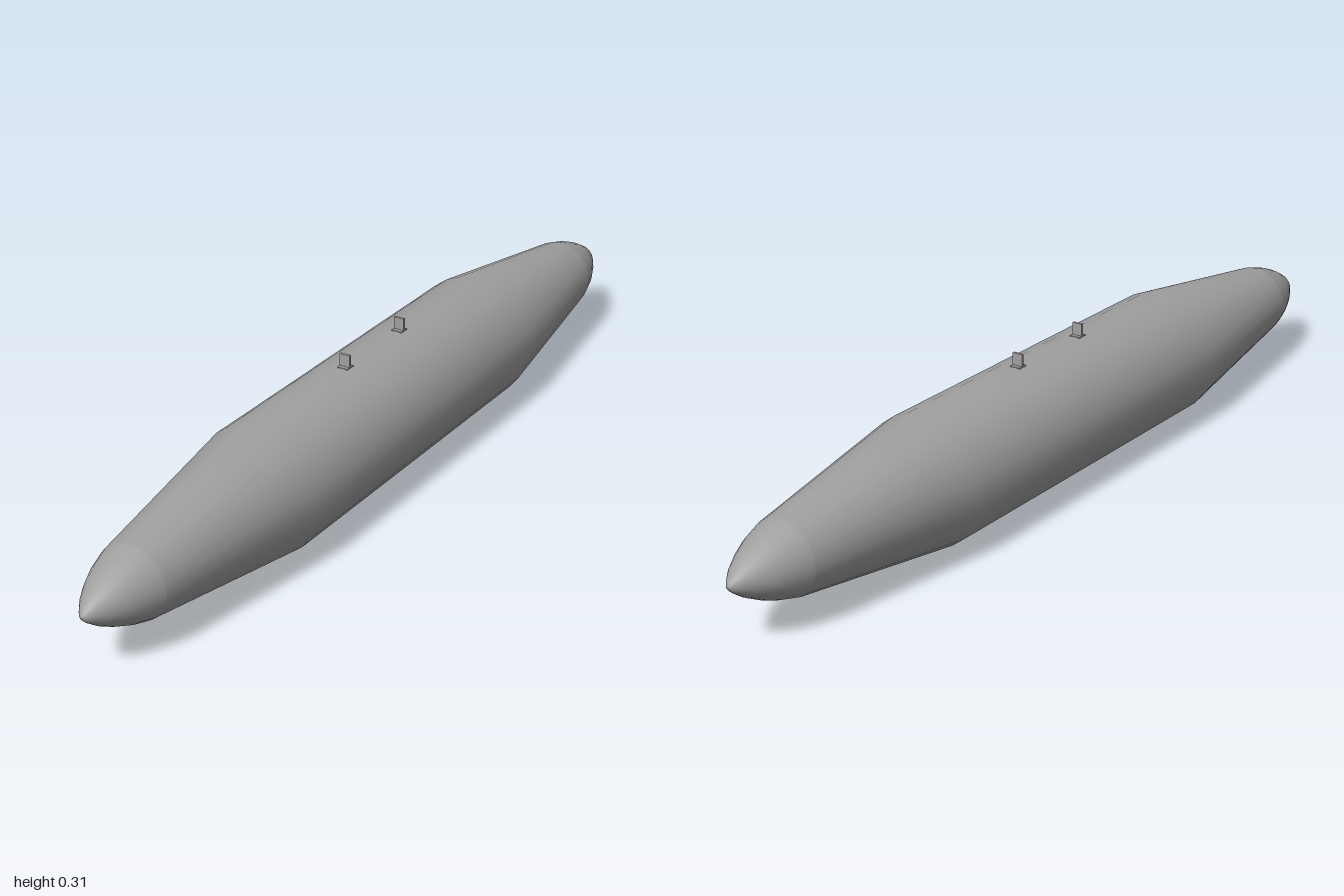
import * as THREE from 'three';

export function createModel() {
  const model = new THREE.Group();
  const grey = new THREE.MeshStandardMaterial({ color: 0xa0a0a0 });
  grey.name = 'grey';
  const R = 0.143;

  function add(geometry, name, parent = model) {
    const mesh = new THREE.Mesh(geometry, grey);
    mesh.name = name;
    parent.add(mesh);
    return mesh;
  }

  // Round section along z; points are [radius, z] with z rising
  function section(points, name) {
    const profile = points.map(([r, z]) => new THREE.Vector2(r, z));
    const geometry = new THREE.LatheGeometry(profile, 24).rotateX(Math.PI / 2);
    add(geometry, name).position.y = R;
  }

  // Straight barrel with tapered ends
  section([[0.081, -0.85], [R, -0.43], [R, 0.43], [0.081, 0.85]], 'tankBody');

  // Pointed caps, mirrored front and back
  const nose = [[0.081, 0.85], [0.068, 0.895], [0.053, 0.93], [0.035, 0.963], [0.018, 0.986], [0.008, 0.997], [0, 1]];
  section(nose, 'noseCap');
  section(nose.map(([r, z]) => [r, -z]).reverse(), 'tailCap');

  // Two hanging lugs on top, each an upright plate on a small foot
  for (const [name, z] of [['frontLug', 0.108], ['rearLug', -0.108]]) {
    const lug = new THREE.Group();
    lug.name = name;
    lug.position.z = z;
    add(new THREE.BoxGeometry(0.024, 0.034, 0.006), 'lugPlate', lug).position.y = 0.297;
    add(new THREE.BoxGeometry(0.024, 0.008, 0.024), 'lugFoot', lug).position.y = 0.283;
    model.add(lug);
  }
  return model;
}
